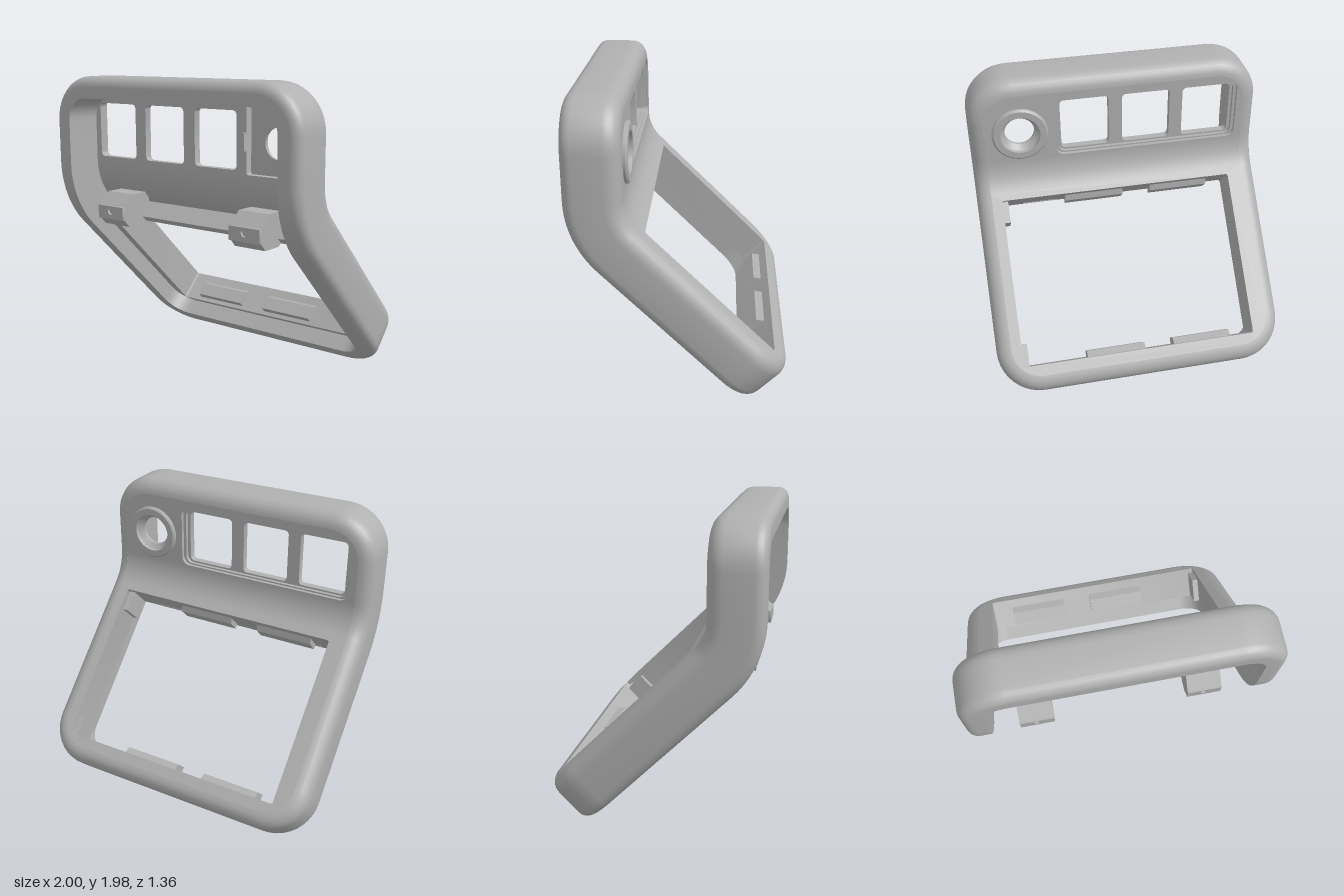
import * as THREE from 'three';
import { toCreasedNormals } from 'three/addons/utils/BufferGeometryUtils.js';

// The housing is laid out flat as (x, v, w): v runs up the panel, w from back to front,
// then bent by 45 degrees about an axis behind it.
const BEND_Y = 1.4, BEND_Z = 0.04, R = 0.29, BACK_Z = BEND_Z + R;
const ARC = 0.365, TOP = 0.59, LOW = 1.37, ANGLE = Math.PI / 4;
const END_Y = BEND_Y - R * Math.sin(ANGLE), END_Z = BEND_Z + R * Math.cos(ANGLE);

function bend(x, v, w) {
  if (v >= 0) return [x, BEND_Y + v, BACK_Z + w];
  const a = Math.min(-v / ARC, 1) * ANGLE, s = Math.max(-v - ARC, 0);
  return [
    x,
    BEND_Y - (R + w) * Math.sin(a) - s * Math.cos(a),
    BEND_Z + (R + w) * Math.cos(a) - s * Math.sin(a)
  ];
}

// Rounded outline at a given inset, with extra points along the bend
function outline(d) {
  const pts = [], r = 0.3 - d, cx = 0.7, top = TOP - 0.3, bottom = -ARC - LOW + 0.3, n = 10;
  const corner = (x, v, start) => {
    for (let i = 0; i <= n; i++) {
      const a = start + (i / n) * Math.PI / 2;
      pts.push([x + r * Math.cos(a), v + r * Math.sin(a)]);
    }
  };
  corner(cx, bottom, -Math.PI / 2);
  for (let i = 0; i <= n; i++) pts.push([1 - d, -ARC * (1 - i / n)]);
  corner(cx, top, 0);
  corner(-cx, top, Math.PI / 2);
  for (let i = 0; i <= n; i++) pts.push([d - 1, -ARC * i / n]);
  corner(-cx, bottom, Math.PI);
  return pts;
}

// Outer wall: a filleted section swept around the outline
function rimGeometry() {
  const section = [], fb = 0.1, ff = 0.07, depth = 0.35, n = 6;
  for (let i = 0; i <= n; i++) {
    const a = (i / n) * Math.PI / 2;
    section.push([fb - fb * Math.sin(a), fb - fb * Math.cos(a)]);
  }
  for (let i = 0; i <= n; i++) {
    const a = (i / n) * Math.PI / 2;
    section.push([ff - ff * Math.cos(a), depth - ff + ff * Math.sin(a)]);
  }
  section.push([0.145, depth], [0.145, 0.03]);
  const pos = [], idx = [];
  let count = 0;
  section.forEach(([d, w], j) => {
    const loop = outline(d);
    count = loop.length;
    loop.forEach(([x, v], i) => {
      pos.push(...bend(x, v, w));
      if (j === section.length - 1) return;
      const a = j * count + i, b = j * count + (i + 1) % count;
      idx.push(a, b, b + count, a, b + count, a + count);
    });
  });
  const g = new THREE.BufferGeometry();
  g.setAttribute('position', new THREE.Float32BufferAttribute(pos, 3));
  g.setIndex(idx);
  return toCreasedNormals(g, 0.6);
}

// Rounded rectangle, with its own radius for the top right corner
function roundRect(x0, y0, x1, y1, r, rt = r, C = THREE.Path) {
  const p = new C();
  p.moveTo(x0 + r, y0);
  p.absarc(x1 - r, y0 + r, r, -Math.PI / 2, 0);
  p.absarc(x1 - rt, y1 - rt, rt, 0, Math.PI / 2);
  p.absarc(x0 + r, y1 - r, r, Math.PI / 2, Math.PI);
  p.absarc(x0 + r, y0 + r, r, Math.PI, Math.PI * 1.5);
  return p;
}

function circle(x, y, r) {
  return new THREE.Path().absarc(x, y, r, 0, Math.PI * 2);
}

function extrude(shape, depth, holes = []) {
  shape.holes.push(...holes);
  const g = new THREE.ExtrudeGeometry(shape, { depth, bevelEnabled: false, curveSegments: 10 });
  return toCreasedNormals(g, 0.6);
}

// Extrudes a (z, y) profile along x, centred on x = 0
function extrudeX(shape, width) {
  return extrude(shape, width).translate(0, 0, -width / 2).rotateY(-Math.PI / 2);
}

// Panel with two rounded corners; sign +1 rises from y = 0, -1 hangs from it
function panelShape(height, sign) {
  const s = new THREE.Shape();
  const y = sign * (height - 0.2);
  s.moveTo(-0.9 * sign, 0);
  s.lineTo(0.9 * sign, 0);
  s.lineTo(0.9 * sign, y);
  const a = sign > 0 ? 0 : Math.PI;
  s.absarc(0.7 * sign, y, 0.2, a, a + Math.PI / 2);
  s.absarc(-0.7 * sign, y, 0.2, a + Math.PI / 2, a + Math.PI);
  s.lineTo(-0.9 * sign, 0);
  return s;
}

export function createModel() {
  const model = new THREE.Group();
  const grey = new THREE.MeshStandardMaterial({ color: 0xb0b0b0 });
  grey.name = 'housing grey';
  const add = (parent, name, geometry, x = 0, y = 0, z = 0) => {
    const m = new THREE.Mesh(geometry, grey);
    m.name = name;
    m.position.set(x, y, z);
    parent.add(m);
    return m;
  };
  const box = (parent, name, x0, x1, y0, y1, z0, z1) =>
    add(parent, name, new THREE.BoxGeometry(x1 - x0, y1 - y0, z1 - z0),
      (x0 + x1) / 2, (y0 + y1) / 2, (z0 + z1) / 2);

  add(model, 'outerRim', rimGeometry());

  // Upper panel: stepped recess behind, three windows and a pocket in front
  const upper = new THREE.Group();
  upper.name = 'upperPanel';
  upper.position.set(0, BEND_Y, BACK_Z);
  model.add(upper);
  const dial = [0.66, 0.21];
  add(upper, 'backPlate', extrude(panelShape(TOP - 0.1, 1), 0.025,
    [roundRect(-0.85, 0.008, 0.42, 0.44, 0.06), circle(...dial, 0.134)]));
  add(upper, 'recessStep', extrude(panelShape(TOP - 0.1, 1), 0.025,
    [roundRect(-0.83, 0.018, 0.4, 0.42, 0.05), circle(...dial, 0.134)]), 0, 0, 0.025);
  const windows = [-0.81, -0.385, 0.043].map(x => roundRect(x, 0.03, x + 0.335, 0.4, 0.03));
  add(upper, 'windowPlate', extrude(panelShape(TOP - 0.1, 1), 0.05,
    [...windows, roundRect(0.455, 0.008, 0.845, 0.455, 0.015, 0.1)]), 0, 0, 0.05);
  box(upper, 'pocketLatch', 0.43, 0.455, 0.155, 0.27, 0.06, 0.125);

  // Raised collar around the round hole
  const collar = [[0.19, 0], [0.19, 0.016], [0.178, 0.026], [0.135, 0.026], [0.133, 0],
    [0.1, -0.03], [0.1, -0.05], [0.14, -0.05]].map(p => new THREE.Vector2(...p));
  add(upper, 'collar', toCreasedNormals(
    new THREE.LatheGeometry(collar, 40).rotateX(-Math.PI / 2), 0.4), ...dial, 0);

  // Curved panel between the upper and lower parts
  const arc = new THREE.Shape();
  arc.absarc(BEND_Z, BEND_Y, R, 0, -ANGLE, true);
  arc.absarc(BEND_Z, BEND_Y, R + 0.1, -ANGLE, 0, false);
  add(model, 'bentPanel', extrudeX(arc, 1.8));

  // Lower sloping frame with one large opening
  const lower = new THREE.Group();
  lower.name = 'lowerFrame';
  lower.position.set(0, END_Y, END_Z);
  lower.rotation.x = ANGLE;
  model.add(lower);
  add(lower, 'openingFrame', extrude(panelShape(LOW - 0.1, -1), 0.23,
    [roundRect(-0.79, -1.195, 0.83, -0.05, 0.015)]));

  // Retaining tabs with a slanted face, at both ends of the opening
  for (const x of [-0.435, 0.18]) {
    for (const [y, dir] of [[-0.05, -1], [-1.195, 1]]) {
      const out = dir > 0 ? 0.045 : 0.035;
      const tab = new THREE.Shape();
      tab.moveTo(0.06, y - dir * 0.01);
      tab.lineTo(0.1, y + dir * out);
      tab.lineTo(0.2, y + dir * out);
      tab.lineTo(0.2, y - dir * 0.01);
      add(lower, 'retainingTab', extrudeX(tab, 0.41), x);
    }
  }
  for (const y of [-0.2, -1.195]) box(lower, 'sideStop', 0.79, 0.84, y, y + 0.15, 0.04, 0.22);

  // Hinge blocks with a small hole in the face
  for (const x of [-0.565, 0.565]) {
    const block = new THREE.Group();
    block.name = 'hingeBlock';
    block.position.x = x;
    model.add(block);
    const p = new THREE.Shape([[0.34, 1.02], [0.4, 0.98], [0.54, 0.98], [0.585, 1.03],
      [0.585, 1.12], [0.5, 1.2], [0.34, 1.2]].map(q => new THREE.Vector2(...q)));
    add(block, 'blockBody', extrudeX(p, 0.23));
    const face = roundRect(-0.115, 1.03, 0.115, 1.12, 0.002, 0.002, THREE.Shape);
    add(block, 'blockFace', extrude(face, 0.018, [circle(0, 1.085, 0.025)]), 0, 0, 0.584);
  }
  return model;
}
